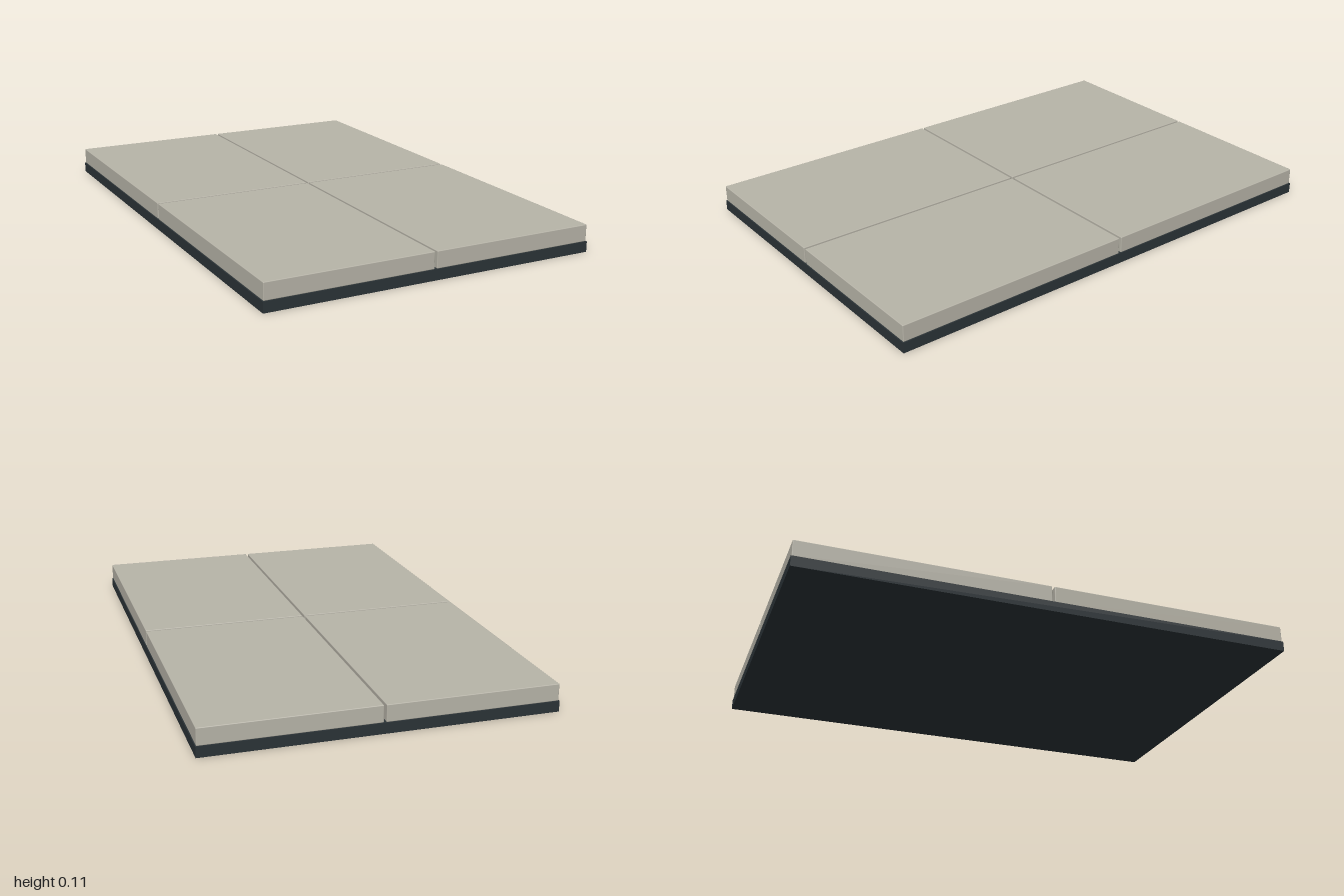
import * as THREE from 'three';
import { RoundedBoxGeometry } from 'three/addons/geometries/RoundedBoxGeometry.js';

export function createModel() {
  const model = new THREE.Group();
  model.name = 'pavingPanel';

  const baseMaterial = new THREE.MeshStandardMaterial({ color: 0x2b3337 });
  const slabMaterial = new THREE.MeshStandardMaterial({ color: 0xb7b4a8 });

  const halfWidth = 0.678, halfDepth = 1;
  const baseHeight = 0.042, slabHeight = 0.067;
  const margin = 0.003, halfGap = 0.005;

  // Dark backing board
  const base = new THREE.Mesh(
    new THREE.BoxGeometry(halfWidth * 2, baseHeight, halfDepth * 2), baseMaterial);
  base.name = 'base';
  base.position.y = baseHeight / 2;
  model.add(base);

  // Four slabs with slightly eased edges, separated by narrow joints
  const slabWidth = halfWidth - margin - halfGap;
  const slabDepth = halfDepth - margin - halfGap;
  const slabGeometry = new RoundedBoxGeometry(slabWidth, slabHeight, slabDepth, 2, 0.003);
  for (const [sideName, sx] of [['Left', 1], ['Right', -1]]) {
    for (const [endName, sz] of [['front', 1], ['back', -1]]) {
      const slab = new THREE.Mesh(slabGeometry, slabMaterial);
      slab.name = `${endName}${sideName}Slab`;
      slab.position.set(
        sx * (halfGap + slabWidth / 2),
        baseHeight + slabHeight / 2,
        sz * (halfGap + slabDepth / 2));
      model.add(slab);
    }
  }
  return model;
}
